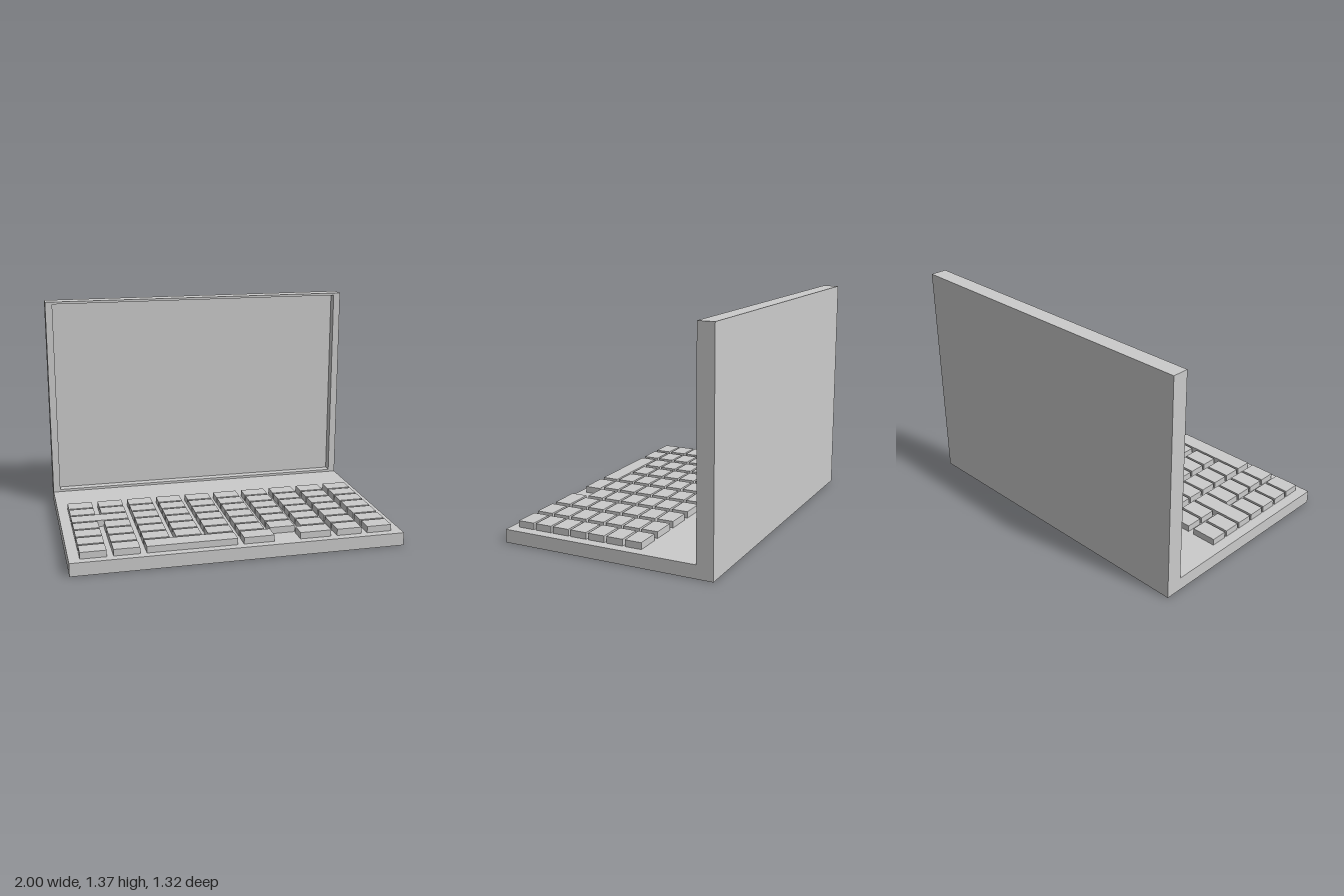
import * as THREE from 'three';

const material = new THREE.MeshStandardMaterial({ color: 0xcccccc, flatShading: true });

// Box given by its min and max corners
function block(name, [x0, y0, z0], [x1, y1, z1]) {
  const mesh = new THREE.Mesh(new THREE.BoxGeometry(x1 - x0, y1 - y0, z1 - z0), material);
  mesh.position.set((x0 + x1) / 2, (y0 + y1) / 2, (z0 + z1) / 2);
  mesh.name = name;
  return mesh;
}

function rectangle(path, x0, y0, x1, y1) {
  path.moveTo(x0, y0);
  path.lineTo(x1, y0);
  path.lineTo(x1, y1);
  path.lineTo(x0, y1);
  path.closePath();
  return path;
}

const BACK = -0.66, LID_FRONT = -0.56, FRONT = 0.66;
const LID_TOP = 1.365, DECK = 0.08, RECESS = 0.055;

function createLid() {
  const lid = new THREE.Group();
  lid.name = 'lid';
  const panelFront = LID_FRONT - RECESS;
  lid.add(block('screenPanel', [-1, 0, BACK], [1, LID_TOP, panelFront]));

  // Raised bezel around the sunken screen
  const outline = rectangle(new THREE.Shape(), -1, 0, 1, LID_TOP);
  outline.holes.push(rectangle(new THREE.Path(), -0.955, 0.095, 0.955, 1.35));
  const bezel = new THREE.Mesh(
    new THREE.ExtrudeGeometry(outline, { depth: RECESS, bevelEnabled: false }), material);
  bezel.position.z = panelFront;
  bezel.name = 'screenBezel';
  lid.add(bezel);
  return lid;
}

function createKeyboard() {
  const keyboard = new THREE.Group();
  keyboard.name = 'keyboard';
  const halfW = 0.0765, halfD = 0.0515, pitchX = 0.191, pitchZ = 0.1178;
  const left = (c) => -0.8595 + c * pitchX - halfW;
  const right = (c) => left(c) + 2 * halfW;
  const addKey = (name, row, x0, x1) => {
    const z = -0.147 + row * pitchZ;
    keyboard.add(block(name, [x0, DECK, z - halfD], [x1, 0.12, z + halfD]));
  };

  // Regular keys, leaving out the places of the wide ones
  const skipped = { 2: [0, 1], 6: [2, 3, 4, 5, 6, 7] };
  for (let row = 0; row < 7; row++) {
    for (let col = 0; col < 10; col++) {
      if (!skipped[row]?.includes(col)) addKey('key', row, left(col), right(col));
    }
  }

  // Wide keys
  addKey('wideLeftKey', 2, left(0), right(1));
  addKey('spaceBar', 6, left(2), right(4));
  addKey('wideFrontKey', 6, left(5), 0.203);
  addKey('wideFrontKey', 6, 0.363, right(7));
  return keyboard;
}

export function createModel() {
  const model = new THREE.Group();
  model.name = 'laptop';
  model.add(block('base', [-1, 0, LID_FRONT], [1, DECK, FRONT]), createLid(), createKeyboard());
  return model;
}
